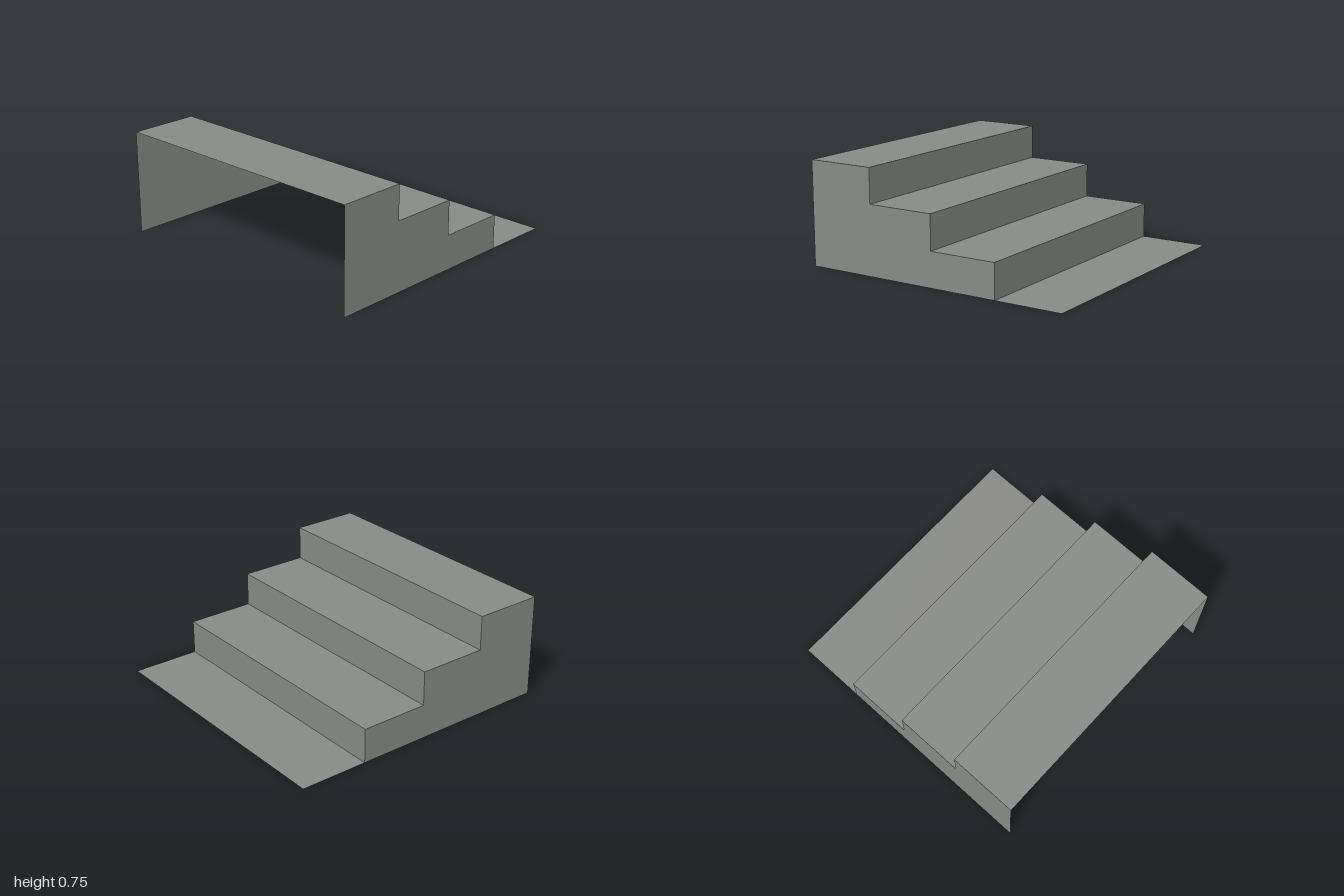
import * as THREE from 'three';

export function createModel() {
  const group = new THREE.Group();
  const stone = new THREE.MeshStandardMaterial({ color: 0x888a85, side: THREE.DoubleSide });
  stone.name = 'stone grey';

  const width = 2, rise = 0.25, run = 0.5, steps = 3;

  function add(name, geometry, x, y, z) {
    const mesh = new THREE.Mesh(geometry, stone);
    mesh.name = name;
    mesh.position.set(x, y, z);
    group.add(mesh);
  }

  // Treads climb from the ground strip at the back to the top at the front
  for (let i = 0; i <= steps; i++) {
    const tread = new THREE.PlaneGeometry(width, run).rotateX(-Math.PI / 2);
    add(i === 0 ? 'groundStrip' : 'tread' + i, tread, 0, i * rise, -1 + (i + 0.5) * run);
  }

  // Risers face the back
  for (let i = 1; i <= steps; i++) {
    const riser = new THREE.PlaneGeometry(width, rise).rotateY(Math.PI);
    add('riser' + i, riser, 0, (i - 0.5) * rise, -1 + i * run);
  }

  // Stepped side walls; the front and underside stay open
  const profile = new THREE.Shape();
  profile.moveTo(-1, 0);
  profile.lineTo(-1, steps * rise);
  for (let i = steps; i >= 1; i--) {
    const z = -1 + i * run;
    profile.lineTo(-z, i * rise);
    profile.lineTo(-z, (i - 1) * rise);
  }
  for (const side of [1, -1]) {
    const wall = new THREE.ShapeGeometry(profile).rotateY(Math.PI / 2);
    if (side < 0) wall.index.array.reverse(); // outward facing
    wall.computeVertexNormals();
    add(side > 0 ? 'leftWall' : 'rightWall', wall, side * width / 2, 0, 0);
  }

  return group;
}
